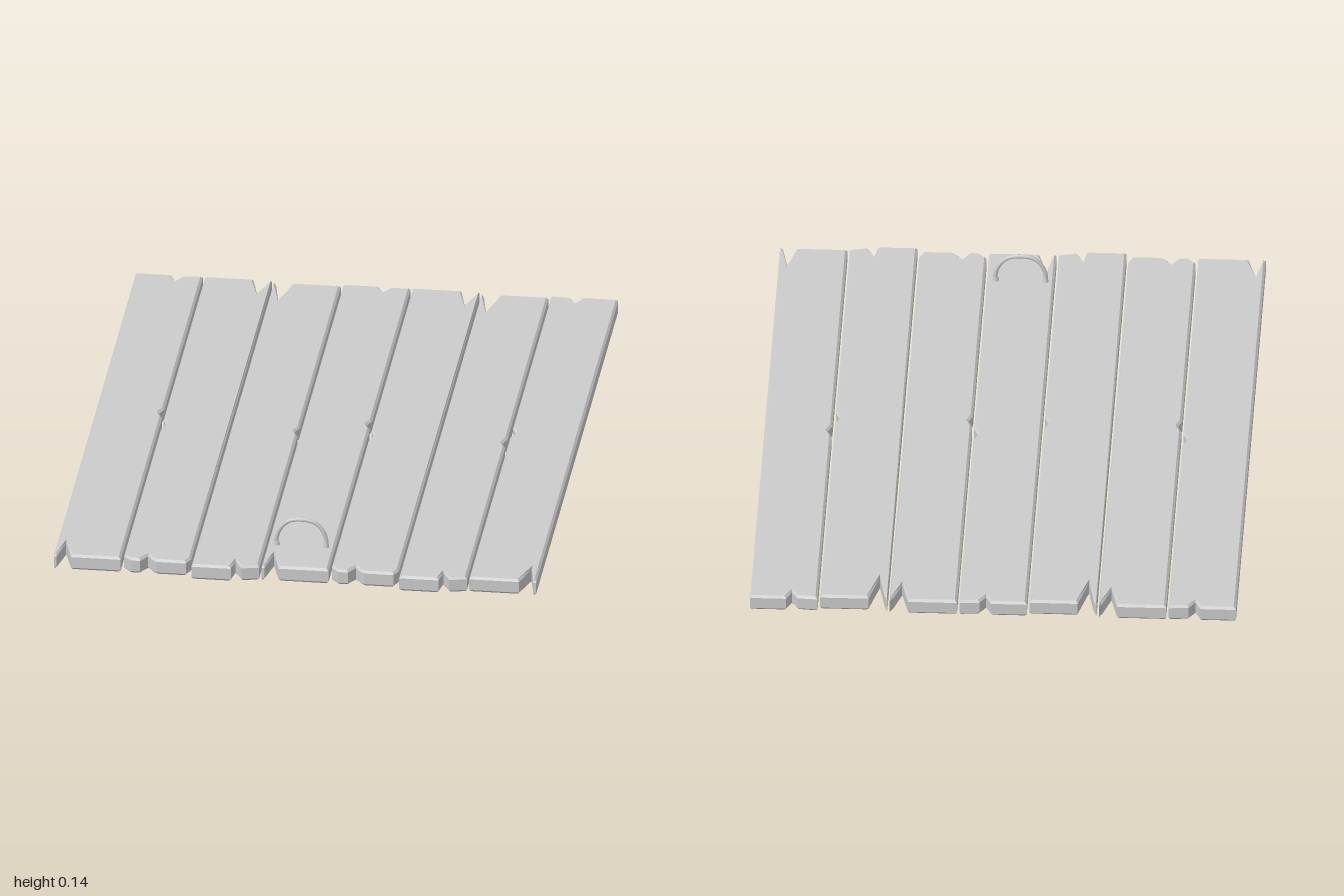
import * as THREE from 'three';

const material = new THREE.MeshStandardMaterial({ color: 0xcccccc });
const PITCH = 0.213, HALF = 0.103, THICK = 0.05, BEVEL = 0.007;

// Plank outlines as [x, z], from the back left corner round by the right edge.
const outlines = [
  [ // small back split, deep split at the front left, nick on the right
    [-HALF, -1], [0.006, -1], [0.023, -0.963], [0.042, -0.995], [HALF, -1],
    [HALF, -0.075], [0.091, -0.045], [HALF, -0.015],
    [HALF, 0.98], [-0.05, 0.98], [-0.077, 0.885], [-0.094, 0.98], [-HALF, 0.98],
  ],
  [ // deep back split on the right, small front split, nick on the left
    [-HALF, -1], [0.047, -1], [0.069, -0.905], [0.093, -0.985], [HALF, -1],
    [HALF, 0.95], [0.09, 0.98], [0.0, 0.98], [-0.014, 0.968], [-0.03, 0.945],
    [-0.05, 0.98], [-0.08, 0.98], [-HALF, 0.955],
    [-HALF, 0.06], [-0.092, 0.03], [-HALF, 0],
  ],
  [ // deep back split on the left, small front split, nick on the right
    [-HALF, -0.995], [-0.093, -0.97], [-0.074, -0.867], [-0.045, -0.988], [HALF, -0.988],
    [HALF, 0], [0.092, 0.03], [HALF, 0.06],
    [HALF, 0.98], [0.05, 0.993], [0.026, 0.947], [0.018, 1], [-HALF, 1],
  ],
];

function plankGeometry(outline, mirror) {
  const points = outline.map(([x, z]) => new THREE.Vector2(mirror ? -x : x, -z));
  const geometry = new THREE.ExtrudeGeometry(new THREE.Shape(points), {
    depth: THICK - 2 * BEVEL,
    bevelEnabled: true, bevelSegments: 1,
    bevelSize: BEVEL, bevelThickness: BEVEL, bevelOffset: -BEVEL,
  });
  return geometry.rotateX(-Math.PI / 2).translate(0, BEVEL, 0);
}

function addMesh(parent, name, geometry, x = 0, y = 0, z = 0) {
  const mesh = new THREE.Mesh(geometry, material);
  mesh.name = name;
  mesh.position.set(x, y, z);
  parent.add(mesh);
}

export function createModel() {
  const model = new THREE.Group();
  model.name = 'plankHatch';

  // Seven worn planks: three shapes repeated, the last one mirrored
  const planks = new THREE.Group();
  planks.name = 'planks';
  for (let i = 0; i < 7; i++) {
    addMesh(planks, `plank${i + 1}`, plankGeometry(outlines[i % 3], i === 6), (i - 3) * PITCH);
  }
  model.add(planks);

  // Arched pull handle with small feet
  const handle = new THREE.Group();
  handle.name = 'handle';
  const half = [[0.075, 0.04], [0.077, 0.07], [0.064, 0.107], [0.034, 0.133]];
  const path = new THREE.CatmullRomCurve3([
    ...half.map(([x, y]) => new THREE.Vector3(-x, y, 0)),
    ...half.reverse().map(([x, y]) => new THREE.Vector3(x, y, 0)),
  ]);
  addMesh(handle, 'handleArch', new THREE.TubeGeometry(path, 24, 0.0065, 8), 0, 0, 0.825);
  for (const side of [-1, 1]) {
    addMesh(handle, 'handleFoot', new THREE.CylinderGeometry(0.007, 0.011, 0.02, 8), side * 0.076, 0.054, 0.825);
  }
  model.add(handle);
  return model;
}
